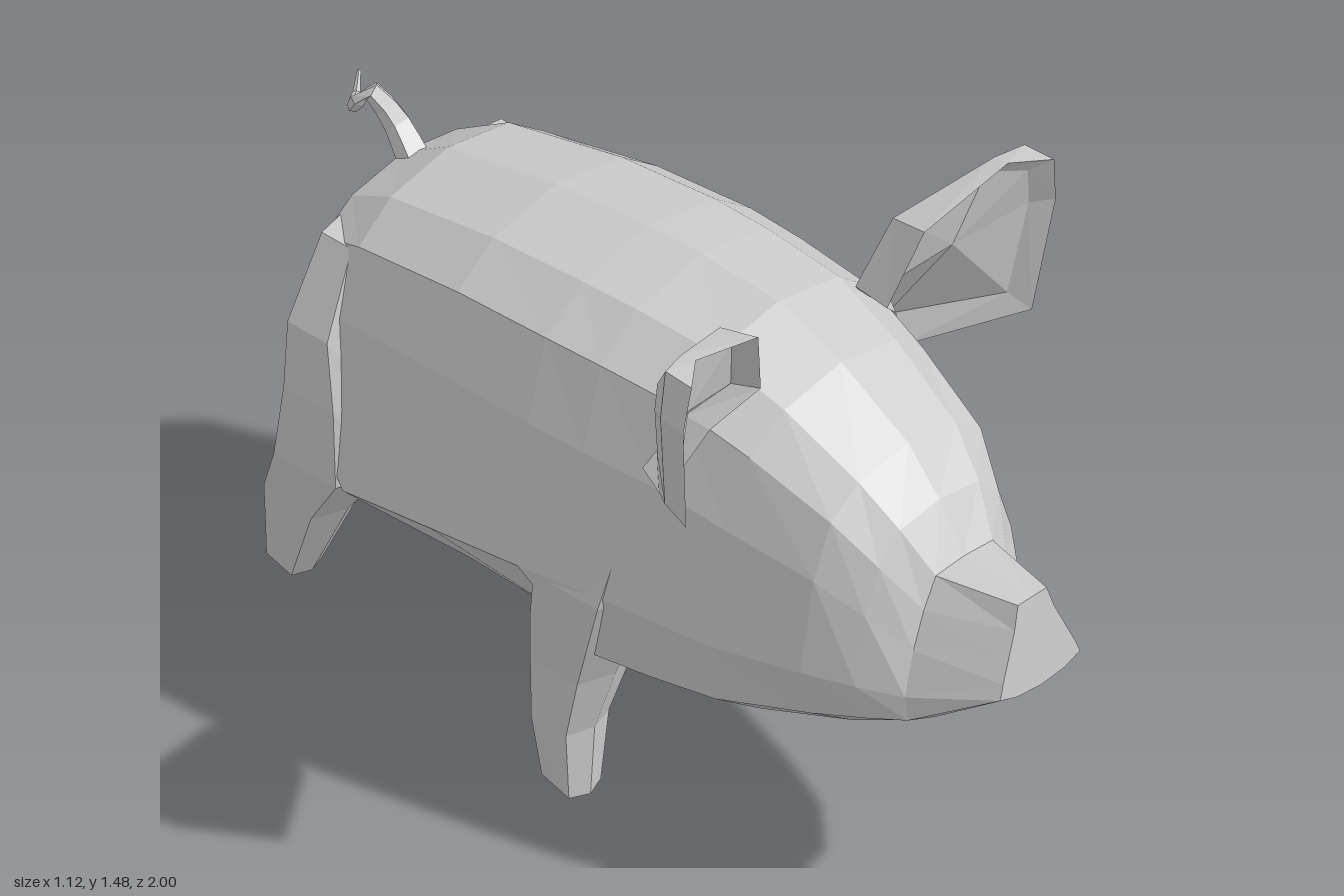
import * as THREE from 'three';

const material = new THREE.MeshStandardMaterial({ color: 0xcccccc, flatShading: true });
const lerp = THREE.MathUtils.lerp;

// Skin a stack of equal-length rings, cap both ends, and turn every face outward.
function loft(name, rings) {
  const tris = [], n = rings[0].length;
  const centre = r => [0, 1, 2].map(k => r.reduce((s, p) => s + p[k], 0) / n);
  for (let i = 0; i + 1 < rings.length; i++) {
    for (let j = 0; j < n; j++) {
      const k = (j + 1) % n;
      const a = rings[i][j], b = rings[i][k], c = rings[i + 1][k], d = rings[i + 1][j];
      tris.push([a, b, c], [a, c, d]);
    }
  }
  const first = rings[0], last = rings[rings.length - 1];
  for (let j = 0; j < n; j++) {
    const k = (j + 1) % n;
    tris.push([centre(first), first[k], first[j]], [centre(last), last[j], last[k]]);
  }
  const v = p => new THREE.Vector3(...p);
  const volume = tris.reduce((s, [a, b, c]) => s + v(a).dot(v(b).cross(v(c))), 0);
  if (volume < 0) tris.forEach(t => t.reverse());
  const geometry = new THREE.BufferGeometry();
  geometry.setAttribute('position', new THREE.Float32BufferAttribute(tris.flat(2), 3));
  geometry.computeVertexNormals();
  const mesh = new THREE.Mesh(geometry, material);
  mesh.name = name;
  return mesh;
}

const mirrored = (rings, side) => rings.map(r => r.map(([x, y, z]) => [x * side, y, z]));

// Half outlines, top to belly, as fractions of half width and height.
// The barrel's widest height (flank) and its lower fullness vary along the body.
const barrel = (flank, full) =>
  [[0, 1], [.5, .96], [.78, .87], [.92, .67], [1, flank], [full, flank * .4], [.4, 0], [0, 0]];
const snout = [[0, 1], [.36, 1], [.5, .75], [.7, .5], [.9, .25], [1, .1], [.6, .03], [0, 0]];

function bodyRing([zTop, zBottom, top, bottom, w, mix, flank, full]) {
  const half = barrel(flank, full).map(([x, y], i) => {
    const f = lerp(y, snout[i][1], mix);
    return [w * lerp(x, snout[i][0], mix), lerp(bottom, top, f), lerp(zBottom, zTop, f)];
  });
  const other = half.slice(1, -1).reverse().map(([x, y, z]) => [-x, y, z]);
  return [...half, ...other];
}

// Six-sided leg ring: centre x, y, centre z, radius x, radius z, slope of y along z.
function legRing([cx, y, cz, rx, rz, slope = 0]) {
  return Array.from({ length: 6 }, (_, i) => {
    const a = (i + .5) * Math.PI / 3;
    const dx = Math.cos(a) / Math.cos(Math.PI / 6);
    const dz = Math.sign(Math.sin(a)) * Math.sqrt(Math.abs(Math.sin(a)));
    return [cx + rx * dx, y + slope * rz * dz, cz + rz * dz];
  });
}

export function createModel() {
  const pig = new THREE.Group();
  pig.name = 'pig';

  // Body and head: zTop, zBottom, top, bottom, half width, snout share, flank, fullness
  pig.add(loft('body', [
    [.975, 1, .885, .67, .12, 1, .33, .8],
    [.78, .8, .89, .535, .205, .6, .33, .8],
    [.71, .7, 1, .48, .25, .2, .33, .82],
    [.62, .57, 1.1, .42, .29, 0, .33, .84],
    [.43, .33, 1.21, .335, .335, 0, .33, .86],
    [.25, .18, 1.275, .325, .37, 0, .33, .88],
    [.03, .03, 1.285, .31, .388, 0, .33, .88],
    [-.12, -.12, 1.28, .33, .396, 0, .3, .72],
    [-.38, -.38, 1.255, .345, .385, 0, .25, .7],
    [-.69, -.65, 1.19, .37, .355, 0, .17, .75],
    [-.82, -.79, 1.11, .45, .315, 0, .28, .8],
    [-.86, -.85, 1, .57, .23, 0, .3, .8],
    [-.89, -.89, .88, .68, .11, 0, .33, .8],
  ].map(bodyRing)));

  // Shoulders and haunches run flush into the flanks
  const frontLeg = [
    [.26, .72, .04, .11, .12],
    [.27, .61, .01, .118, .13],
    [.262, .47, -.03, .105, .115],
    [.258, .34, -.065, .086, .095],
    [.268, .18, -.09, .065, .07],
    [.27, .02, -.085, .048, .055, -.3],
  ].map(legRing);

  const hindLeg = [
    [.18, 1.06, -.755, .09, .06],
    [.23, .87, -.755, .128, .08],
    [.245, .7, -.75, .115, .1],
    [.247, .5, -.77, .103, .125],
    [.22, .345, -.865, .082, .095, -.15],
    [.19, .105, -.95, .048, .05, -.3],
  ].map(legRing);

  // Ear: a thick scoop with a shallow hollow front
  const rim = [[.19, 1.22, .38], [.25, 1.41, .43], [.47, 1.485, .46], [.545, 1.485, .52],
    [.56, 1.37, .51], [.52, 1.09, .48], [.36, .97, .26], [.28, 1.13, .32]];
  const back = [[.2, 1.22, .28], [.26, 1.39, .33], [.47, 1.48, .42], [.54, 1.485, .44],
    [.555, 1.37, .44], [.5, 1.1, .4], [.35, .97, .24], [.28, 1.12, .24]];
  const hollow = rim.map(([x, y, z]) => [lerp(x, .4, .18), lerp(y, 1.26, .18), z - .05]);
  const spine = back.map(([x, y, z]) => [lerp(x, .36, .45), lerp(y, 1.2, .45), lerp(z, .24, .5)]);

  for (const [label, side] of [['left', 1], ['right', -1]]) {
    pig.add(loft(label + 'FrontLeg', mirrored(frontLeg, side)));
    pig.add(loft(label + 'HindLeg', mirrored(hindLeg, side)));
    pig.add(loft(label + 'Ear', mirrored([hollow, rim, back, spine], side)));
  }

  // Curly tail, tapering to its tip
  const path = new THREE.CatmullRomCurve3([
    [0, 1.1, -.78], [.01, 1.17, -.85], [-.02, 1.24, -.9],
    [-.03, 1.18, -.935], [.01, 1.175, -.965], [.04, 1.215, -.985],
  ].map(p => new THREE.Vector3(...p)));
  const steps = 8, sides = 5;
  const tailGeometry = new THREE.TubeGeometry(path, steps, .04, sides);
  const position = tailGeometry.attributes.position, p = new THREE.Vector3();
  for (let i = 0; i < position.count; i++) {
    const t = Math.floor(i / (sides + 1)) / steps;
    const c = path.getPointAt(t);
    p.fromBufferAttribute(position, i).sub(c).multiplyScalar(lerp(1, .1, t)).add(c);
    position.setXYZ(i, p.x, p.y, p.z);
  }
  tailGeometry.computeVertexNormals();
  const tail = new THREE.Mesh(tailGeometry, material);
  tail.name = 'tail';
  pig.add(tail);

  return pig;
}
